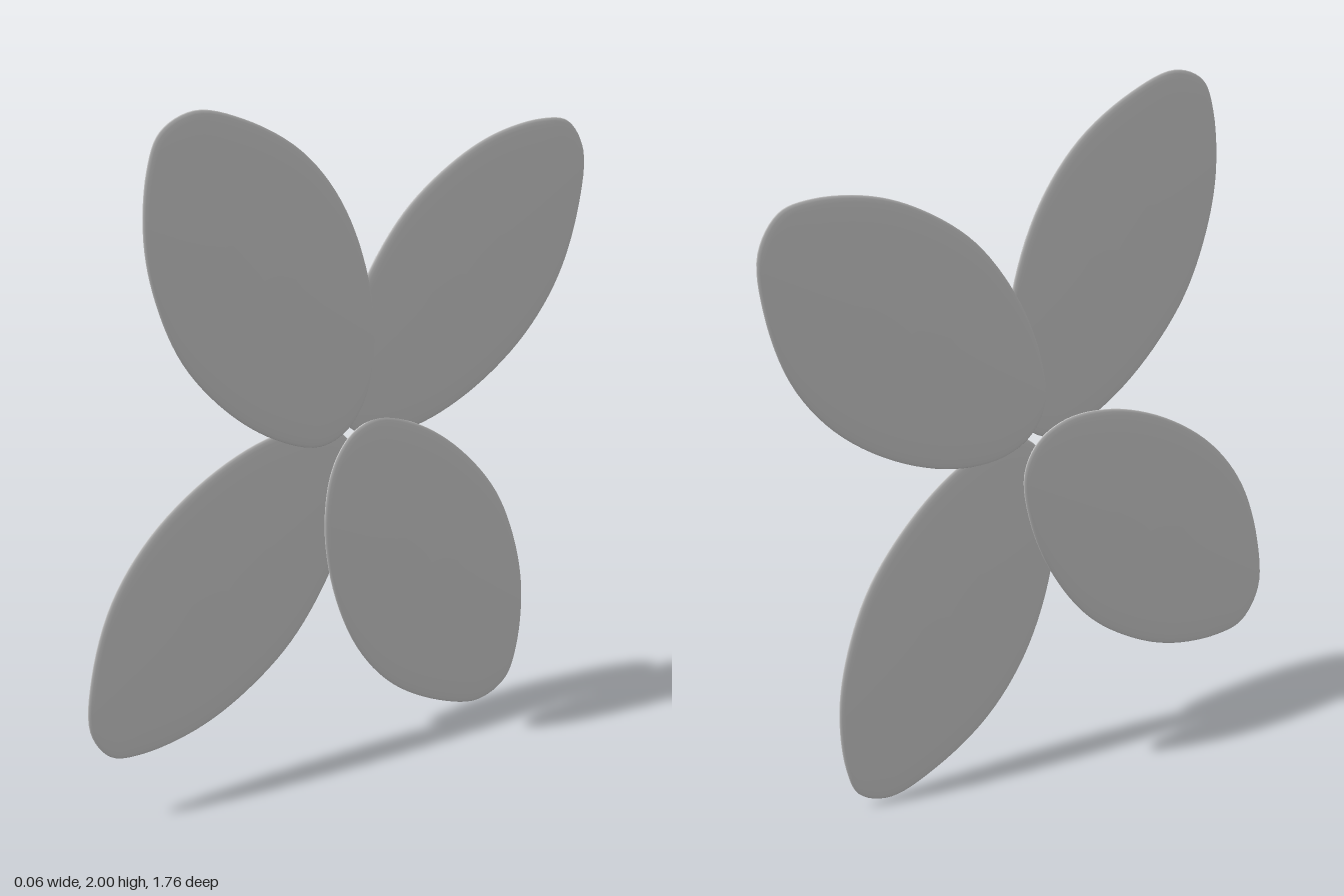
import * as THREE from 'three';

// Petal outline as [z, y] around the hub, counter-clockwise seen from +x
const OUTLINE = [
  [0.508, 0.998], [0.614, 0.955], [0.656, 0.86], [0.672, 0.675], [0.64, 0.5], [0.56, 0.315],
  [0.42, 0.15], [0.26, 0.034], [0.106, -0.021], [0.01, 0.008], [-0.058, 0.098], [-0.087, 0.262],
  [-0.058, 0.474], [0.03, 0.685], [0.164, 0.844], [0.35, 0.955],
];
const CENTRE = [0.3, 0.49];
const HALF_THICKNESS = 0.0155;

// Thin pillow: the outline shrinks towards the centre on both faces, with a rounded rim
function petalGeometry(segments = 96, rings = 24) {
  const curve = new THREE.CatmullRomCurve3(
    OUTLINE.map(([z, y]) => new THREE.Vector3(0, y, z)), true, 'centripetal');
  const rim = curve.getPoints(segments).slice(0, segments);
  const positions = [];
  const index = [];
  for (let k = 0; k <= rings; k++) {
    const a = (k / rings) * Math.PI;
    const scale = Math.pow(Math.sin(a), 0.6);
    const x = HALF_THICKNESS * Math.sign(Math.cos(a)) * Math.pow(Math.abs(Math.cos(a)), 0.9);
    for (const p of rim) {
      positions.push(x, CENTRE[1] + (p.y - CENTRE[1]) * scale, CENTRE[0] + (p.z - CENTRE[0]) * scale);
    }
  }
  for (let k = 0; k < rings; k++) {
    for (let i = 0; i < segments; i++) {
      const j = (i + 1) % segments;
      const a = k * segments + i, b = k * segments + j;
      const c = a + segments, d = b + segments;
      if (k < rings - 1) index.push(a, c, d);
      if (k > 0) index.push(a, d, b);
    }
  }
  const geometry = new THREE.BufferGeometry();
  geometry.setAttribute('position', new THREE.Float32BufferAttribute(positions, 3));
  geometry.setIndex(index);
  geometry.computeVertexNormals();
  return geometry;
}

export function createModel() {
  const group = new THREE.Group();
  group.name = 'flower';
  const material = new THREE.MeshStandardMaterial({ color: 0xcccccc });
  const geometry = petalGeometry();
  const turn = THREE.MathUtils.degToRad(-78.4);

  // Four overlapping petals: name, turn about the hub, layer offset
  const petals = [
    ['upperFrontPetal', 0, 0.0095],
    ['upperBackPetal', turn, -0.003],
    ['lowerBackPetal', Math.PI, 0.004],
    ['lowerFrontPetal', Math.PI + turn, -0.0155],
  ];
  for (const [name, angle, x] of petals) {
    const petal = new THREE.Mesh(geometry, material);
    petal.name = name;
    petal.rotation.x = angle;
    petal.position.set(x, 1, 0);
    group.add(petal);
  }
  return group;
}
